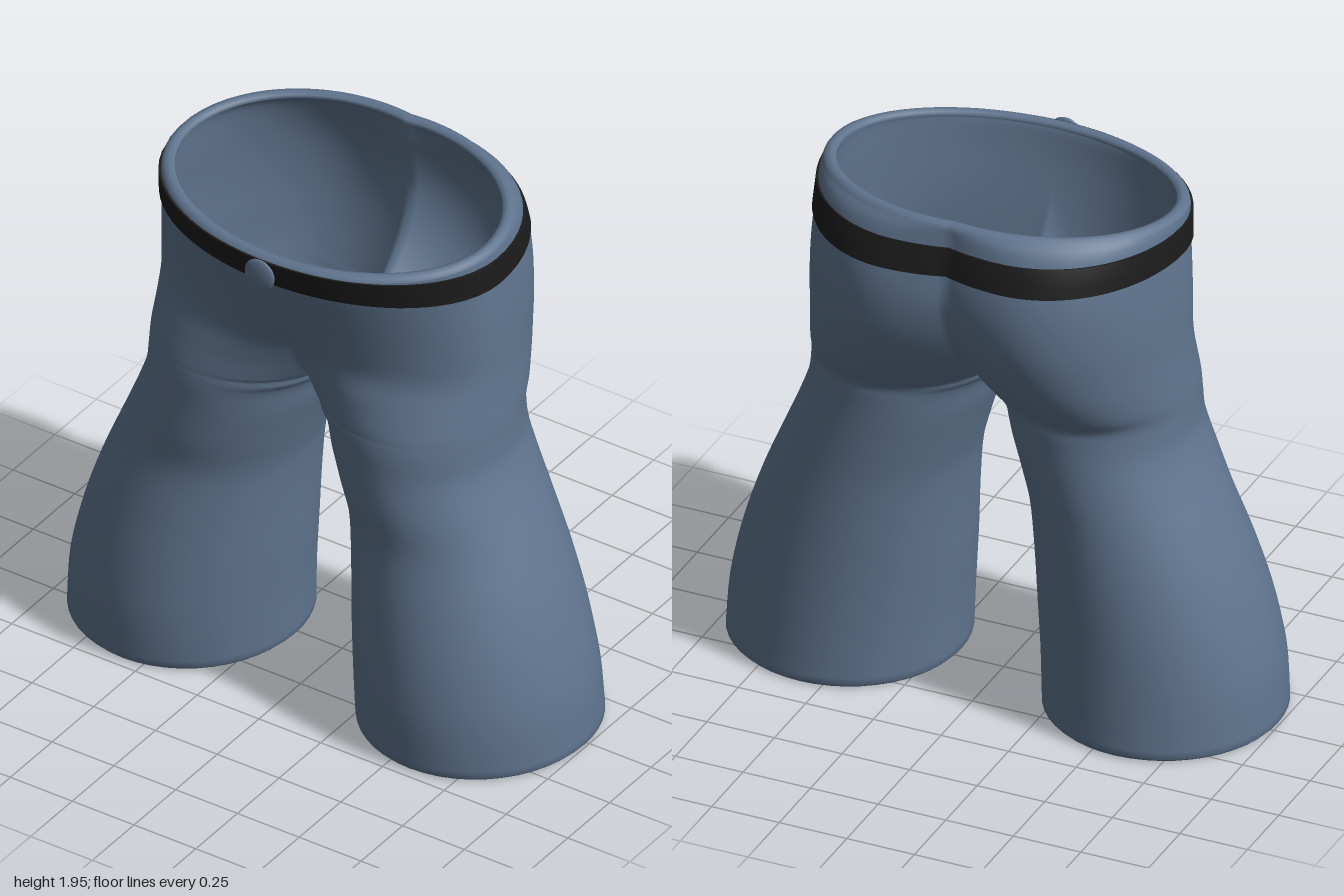
import * as THREE from 'three';
import { mergeVertices, toCreasedNormals } from 'three/addons/utils/BufferGeometryUtils.js';

// Cross-sections of one half, hem to waist:
// height, outer x, inner x (negative = joined at the middle), front centre x, back centre x, front z, back z
const ROWS = [
  [0.0, 1.0, 0.17, 0.58, 0.58, 0.47, -0.387],
  [0.2, 0.985, 0.163, 0.57, 0.57, 0.475, -0.375],
  [0.4, 0.94, 0.15, 0.55, 0.55, 0.455, -0.365],
  [0.6, 0.875, 0.14, 0.51, 0.51, 0.42, -0.355],
  [0.78, 0.802, 0.124, 0.465, 0.465, 0.387, -0.345],
  [0.92, 0.742, 0.09, 0.42, 0.42, 0.39, -0.34],
  [1.05, 0.695, 0.052, 0.38, 0.38, 0.385, -0.335],
  [1.14, 0.685, 0.033, 0.365, 0.36, 0.383, -0.333],
  [1.19, 0.683, 0, 0.355, 0.36, 0.378, -0.335],
  [1.24, 0.68, -0.04, 0.34, 0.35, 0.37, -0.375],
  [1.32, 0.673, -0.1, 0.29, 0.32, 0.355, -0.425],
  [1.42, 0.667, -0.17, 0.19, 0.28, 0.345, -0.47],
  [1.53, 0.665, -0.25, 0.09, 0.25, 0.378, -0.5],
  [1.65, 0.66, -0.33, 0.02, 0.23, 0.42, -0.508],
  [1.76, 0.652, -0.37, 0, 0.22, 0.455, -0.492],
  [1.865, 0.647, -0.42, 0, 0.19, 0.478, -0.455],
  [1.9, 0.643, -0.45, 0, 0.08, 0.48, -0.43],
];
const LAST = ROWS.length - 1;
const HALF = 24; // points along the front or back of a half section
const ZC = 0.03;

// Smooth interpolation between the rows
function sample(u) {
  const i = Math.min(Math.floor(u), LAST - 1), f = u - i;
  const row = k => ROWS[Math.min(Math.max(k, 0), LAST)];
  return ROWS[i].map((p1, c) => {
    const p0 = row(i - 1)[c], p2 = row(i + 1)[c], p3 = row(i + 2)[c];
    const m1 = (p2 - p0) / 2, m2 = (p3 - p1) / 2;
    return p1 + f * (m1 + f * (3 * (p2 - p1) - 2 * m1 - m2 + f * (2 * (p1 - p2) + m1 + m2)));
  });
}

// Half section, from the back middle round the hip to the front middle
function section({ u, inset = 0, lift = 0, slope = 0.08 }) {
  const [y, outer, inner, cxF, cxB, zf, zb] = sample(u);
  let inside = inner + inset;
  if (Math.abs(inside) < 0.013) inside = 0; // meet exactly at the crotch
  const tilt = THREE.MathUtils.clamp((y - 1.85) / 0.05, 0, 1) * slope; // waist rises to the back
  const points = [];
  for (let j = -HALF; j <= HALF; j++) {
    const cx = Math.max(j < 0 ? cxB : cxF, 0);
    const depth = j < 0 ? ZC - zb - inset : zf - ZC - inset;
    const rin = cx - inside;
    const end = inside >= 0 ? Math.PI : Math.acos(-cx / rin);
    const t = Math.abs(j) / HALF;
    const a = t * Math.PI - (Math.PI - end) * Math.pow(t, 1.7); // keeps the hip side evenly spaced
    const c = Math.cos(a);
    const x = t === 1 ? inside : cx + c * (c > 0 ? outer - inset - cx : rin);
    const z = ZC + Math.sign(j) * depth * Math.sin(a);
    points.push([Math.max(x, 0), y + lift - tilt * z, z]);
  }
  return points;
}

// Skin the sections and mirror them into a joined pair
function mirroredLoft(levels) {
  const rings = levels.map(level => section(level)), n = HALF * 2 + 1;
  const positions = [], index = [];
  for (const side of [1, -1]) {
    const base = positions.length / 3;
    rings.forEach(ring => ring.forEach(([x, y, z]) => positions.push(side * x, y, z)));
    for (let i = 0; i < rings.length - 1; i++) {
      for (let j = 0; j < n - 1; j++) {
        const a = base + i * n + j, b = a + n;
        if (side > 0) index.push(a, b, a + 1, b, b + 1, a + 1);
        else index.push(a, a + 1, b, b, a + 1, b + 1);
      }
    }
  }
  const geometry = new THREE.BufferGeometry();
  geometry.setAttribute('position', new THREE.Float32BufferAttribute(positions, 3));
  geometry.setIndex(index);
  const joined = mergeVertices(geometry, 1e-4);
  joined.computeVertexNormals();
  return joined;
}

export function createModel() {
  const model = new THREE.Group();
  model.name = 'trousers';
  const denim = new THREE.MeshStandardMaterial({ color: 0x60758f, side: THREE.DoubleSide });
  denim.name = 'denimBlue';
  const black = new THREE.MeshStandardMaterial({ color: 0x1c1c1c, side: THREE.DoubleSide });
  black.name = 'beltBlack';
  const add = (name, geometry, material) => {
    const mesh = new THREE.Mesh(geometry, material);
    mesh.name = name;
    model.add(mesh);
    return mesh;
  };

  // Cloth: up the outside, over the rounded waist rim, down the inside, under the hem
  const WALL = 0.045, STEPS = 4;
  const levels = [{ u: 0, inset: 0.012 }, { u: 0, lift: 0.012 }];
  for (let k = 1; k <= LAST * STEPS; k++) levels.push({ u: k / STEPS });
  levels.push(
    { u: LAST, inset: 0.008, lift: 0.011 },
    { u: LAST, inset: 0.025, lift: 0.017 },
    { u: LAST, inset: 0.042, lift: 0.011 },
  );
  for (let k = LAST * STEPS; k >= 1; k--) levels.push({ u: k / STEPS, inset: WALL });
  levels.push({ u: 0, inset: WALL, lift: 0.012 }, { u: 0, inset: WALL - 0.012 }, { u: 0, inset: 0.012 });
  add('cloth', mirroredLoft(levels), denim);

  // Belt: level band following the waist
  const belt = [[14.07, 0.01], [14.07, -0.008], [14.4, -0.008], [14.7, -0.008], [15, -0.008], [15, 0.01]]
    .map(([u, inset]) => ({ u, inset, slope: 0 }));
  add('belt', toCreasedNormals(mirroredLoft(belt), 0.7), black);

  // Round button on the belt front
  const button = add('beltButton', new THREE.SphereGeometry(0.06, 24, 16), denim);
  button.scale.z = 0.25;
  button.position.set(0, 1.815, 0.495);

  return model;
}
